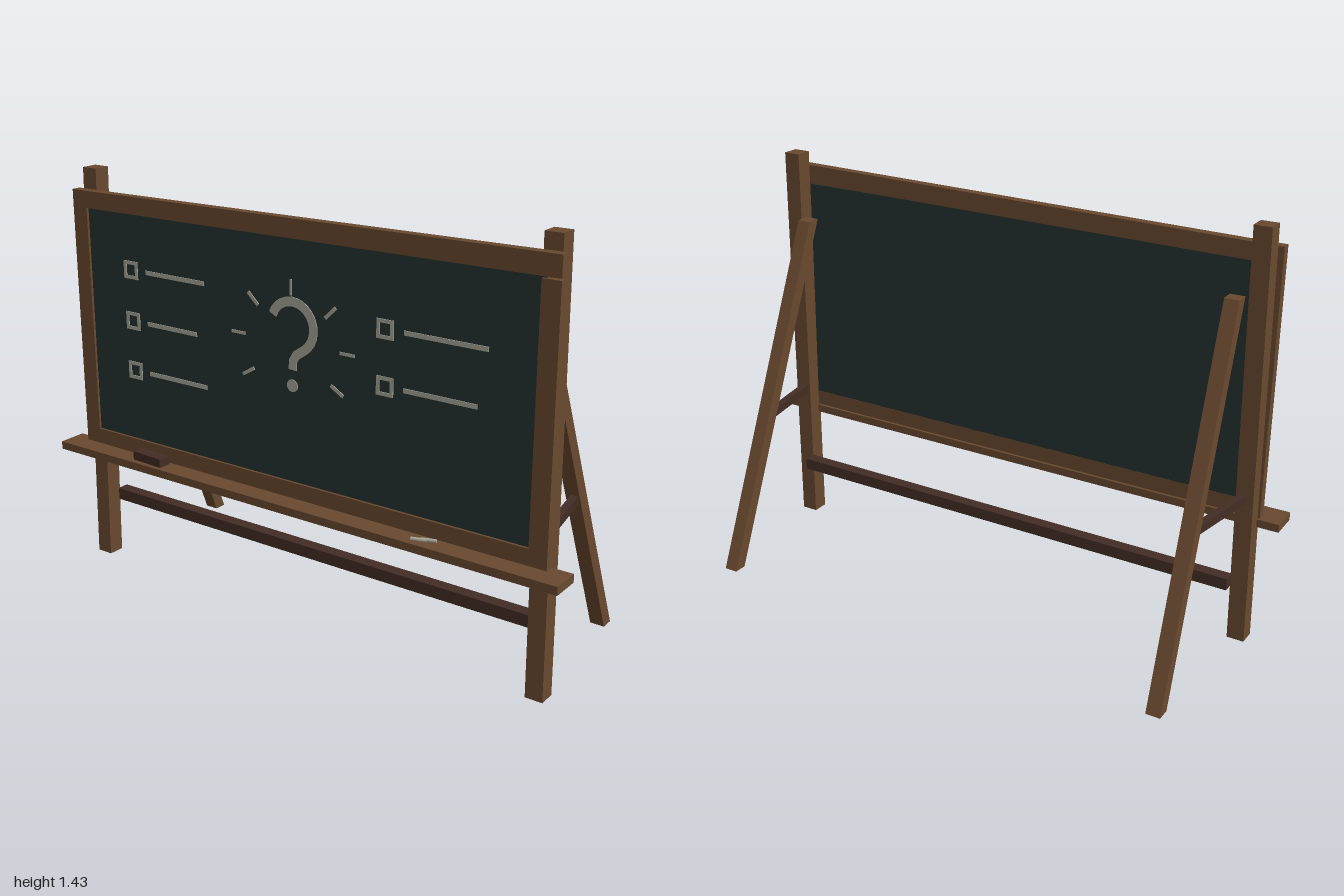
import * as THREE from 'three';

const mat = (name, color) => {
  const m = new THREE.MeshStandardMaterial({ color });
  m.name = name;
  return m;
};

export function createModel() {
  const wood = mat('wood', 0x69492f);
  const darkWood = mat('dark wood', 0x432d24);
  const slate = mat('slate', 0x253231);
  const chalk = mat('chalk', 0xa6a69a);

  const model = new THREE.Group();
  model.name = 'chalkboardEasel';

  const add = (name, geometry, material, parent = model) => {
    const mesh = new THREE.Mesh(geometry, material);
    mesh.name = name;
    parent.add(mesh);
    return mesh;
  };

  // Box given by its extents on each axis
  const block = (name, [x0, x1], [y0, y1], [z0, z1], material, parent) => {
    const g = new THREE.BoxGeometry(x1 - x0, y1 - y0, z1 - z0);
    g.translate((x0 + x1) / 2, (y0 + y1) / 2, (z0 + z1) / 2);
    return add(name, g, material, parent);
  };

  // Upright beam with level ends, leaning from foot [x, z] to head [x, z]
  const leaningBeam = (name, w, d, h, foot, head, material) => {
    const g = new THREE.BoxGeometry(w, h, d).translate(0, h / 2, 0);
    const p = g.attributes.position;
    for (let i = 0; i < p.count; i++) {
      const t = p.getY(i) / h;
      p.setX(i, p.getX(i) + THREE.MathUtils.lerp(foot[0], head[0], t));
      p.setZ(i, p.getZ(i) + THREE.MathUtils.lerp(foot[1], head[1], t));
    }
    g.computeVertexNormals();
    return add(name, g, material);
  };

  // Flat outline extruded from z0 to z1
  const plate = (name, shape, z0, z1, material, parent) => {
    const g = new THREE.ExtrudeGeometry(shape, { depth: z1 - z0, bevelEnabled: false });
    return add(name, g.translate(0, 0, z0), material, parent);
  };
  const polygon = (pts) => new THREE.Shape(pts.map(([x, y]) => new THREE.Vector2(x, y)));

  // Posts, back legs and side struts
  for (const s of [1, -1]) {
    const side = s > 0 ? 'left' : 'right';
    leaningBeam(side + 'Post', 0.06, 0.059, 1.435, [s * 0.9, 0.227], [s * 0.882, 0.21], wood);
    leaningBeam(side + 'BackLeg', 0.05, 0.047, 1.205, [s * 0.847, -0.316], [s * 0.815, 0.171], wood);
    const strut = add(side + 'Strut', new THREE.BoxGeometry(0.025, 0.03, 0.29), darkWood);
    strut.position.set(s * 0.862, 0.527, 0.055);
    strut.rotation.y = s * 0.17;
  }
  block('crossbar', [-0.87, 0.87], [0.202, 0.244], [0.155, 0.199], darkWood);

  // Frame, with a slightly crooked top rail
  const back = 0.243, front = 0.275;
  block('rightStile', [-0.932, -0.87], [0.447, 1.363], [back, front], wood);
  block('leftStile', [0.868, 0.93], [0.502, 1.312], [back, front], wood);
  block('bottomRail', [-0.87, 0.93], [0.447, 0.502], [back, front], wood);
  plate('topRail', polygon([[-0.87, 1.304], [0.93, 1.318], [0.93, 1.385], [-0.87, 1.363]]), back, front, wood);

  // Writing surface
  const face = 0.266;
  block('board', [-0.88, 0.88], [0.49, 1.315], [0.2435, face], slate);

  // Tray with eraser and chalk
  block('tray', [-1, 1], [0.416, 0.444], [0.238, 0.341], wood);
  const eraser = add('eraser', new THREE.BoxGeometry(0.13, 0.031, 0.046), darkWood);
  eraser.position.set(-0.597, 0.46, 0.301);
  eraser.rotation.y = -0.06;
  for (const [x, z] of [[0.513, 0.311], [0.541, 0.297]]) {
    const stick = add('chalkStick', new THREE.CylinderGeometry(0.006, 0.006, 0.05, 8).rotateZ(Math.PI / 2), chalk);
    stick.position.set(x, 0.45, z);
    stick.rotation.y = 0.3;
  }

  // Chalk drawing
  const drawing = new THREE.Group();
  drawing.name = 'chalkDrawing';
  model.add(drawing);
  const z0 = face - 0.001, z1 = face + 0.003;

  // Stroke of constant width along a list of points
  const stroke = (name, pts, width) => {
    const a = [], b = [];
    pts.forEach((p, i) => {
      const q = pts[Math.max(i - 1, 0)], r = pts[Math.min(i + 1, pts.length - 1)];
      const dx = r[0] - q[0], dy = r[1] - q[1], k = width / 2 / Math.hypot(dx, dy);
      a.push([p[0] - dy * k, p[1] + dx * k]);
      b.unshift([p[0] + dy * k, p[1] - dx * k]);
    });
    plate(name, polygon([...a, ...b]), z0, z1, chalk, drawing);
  };

  // Checklist rows: box centre x, y, then line start and end
  const rows = [
    [-0.683, 1.112, -0.615, -0.357], [-0.683, 0.933, -0.615, -0.395], [-0.683, 0.755, -0.615, -0.357],
    [0.354, 1.078, 0.422, 0.709], [0.354, 0.898, 0.422, 0.678],
  ];
  const square = (x, y, r) => [[x - r, y - r], [x + r, y - r], [x + r, y + r], [x - r, y + r]];
  for (const [x, y, from, to] of rows) {
    const box = polygon(square(x, y, 0.031));
    box.holes.push(new THREE.Path(square(x, y, 0.019).reverse().map(([u, v]) => new THREE.Vector2(u, v))));
    plate('checkbox', box, z0, z1, chalk, drawing);
    stroke('checklistLine', [[from, y], [to, y]], 0.015);
  }

  // Question mark
  const hook = [];
  for (let i = 0; i <= 16; i++) {
    const t = THREE.MathUtils.degToRad(158 - i * 13.4);
    hook.push([0.004 + 0.083 * Math.cos(t), 1.026 + 0.083 * Math.sin(t)]);
  }
  hook.push([0.018, 0.935], [0.006, 0.915], [0.004, 0.885]);
  stroke('questionHook', hook, 0.031);
  const dot = new THREE.Shape();
  dot.absarc(0.002, 0.832, 0.021, 0, Math.PI * 2);
  plate('questionDot', dot, z0, z1, chalk, drawing);

  // Rays around it
  stroke('ray', [[0, 1.128], [0, 1.18]], 0.008);
  for (const s of [1, -1]) {
    stroke('ray', [[s * 0.132, 1.076], [s * 0.172, 1.114]], 0.012);
    stroke('ray', [[s * 0.187, 0.973], [s * 0.244, 0.973]], 0.01);
    stroke('ray', [[s * 0.153, 0.862], [s * 0.2, 0.834]], 0.012);
  }

  return model;
}
